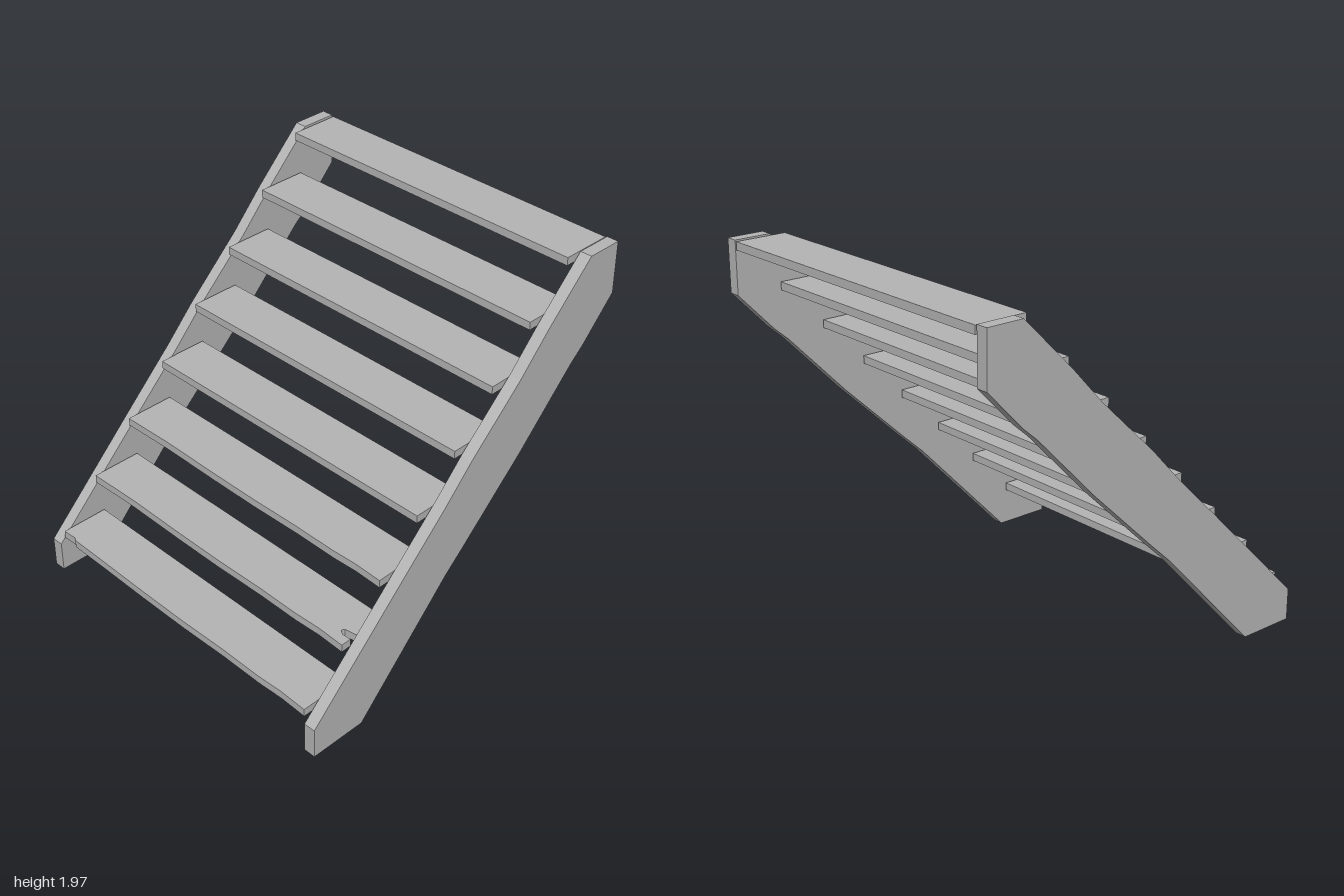
import * as THREE from 'three';

const shapeFrom = pts => new THREE.Shape(pts.map(([a, b]) => new THREE.Vector2(a, b)));
const extrude = (pts, depth) =>
  new THREE.ExtrudeGeometry(shapeFrom(pts), { depth, bevelEnabled: false });

export function createModel() {
  const group = new THREE.Group();
  group.name = 'openStaircase';
  const wood = new THREE.MeshStandardMaterial({ color: 0xb4b4b4 });
  wood.name = 'grey wood';

  const add = (geometry, name) => {
    const mesh = new THREE.Mesh(geometry, wood);
    mesh.name = name;
    group.add(mesh);
    return mesh;
  };

  // Side stringers: profile as (z, y), slightly uneven along the slope
  const profile = [
    [1, 0], [1, 0.17], [0.42, 0.745], [0.15, 1.01], [-0.02, 1.19], [-0.34, 1.495],
    [-0.52, 1.69], [-0.8, 1.97], [-1, 1.97], [-1, 1.69], [-0.8, 1.48], [-0.72, 1.41],
    [-0.38, 1.06], [0, 0.7], [0.12, 0.59], [0.685, 0],
  ];
  for (const [name, outerX] of [['leftStringer', 0.985], ['rightStringer', -0.92]]) {
    const geometry = extrude(profile, 0.065);
    geometry.rotateY(-Math.PI / 2);
    add(geometry, name).position.x = outerX;
  }

  // Treads: plan outline as (x, -z), the lower ones worn along the front
  const count = 8, rise = 0.245, depth = 0.28, thickness = 0.043, half = 0.91;
  for (let i = 0; i < count; i++) {
    const front = 0.992 - i * 0.2446;
    const back = front - depth;
    const wear = i < 3 ? 0.006 : 0;
    const outline = [];
    // chipped front corner on the bottom tread
    if (i === 0) outline.push([-half, -front + 0.015], [-0.83, -front + 0.02], [-0.81, -front + 0.008]);
    else outline.push([-half, -front]);
    for (const [x, bite] of [[-0.6, 1], [-0.25, 0], [0.05, -0.3], [0.35, 0.5], [0.6, 0], [0.75, 1]]) {
      outline.push([x, -front + wear * bite]);
    }
    outline.push([half, -front]);
    // broken notch in the end of the second tread
    if (i === 1) {
      outline.push([half, -0.69], [0.86, -0.692], [0.835, -0.675], [0.845, -0.66], [half, -0.65]);
    }
    outline.push([half, -back], [-half, -back]);
    const geometry = extrude(outline, thickness);
    geometry.rotateX(-Math.PI / 2);
    add(geometry, `tread${i + 1}`).position.y = 0.206 + i * rise;
  }
  return group;
}
